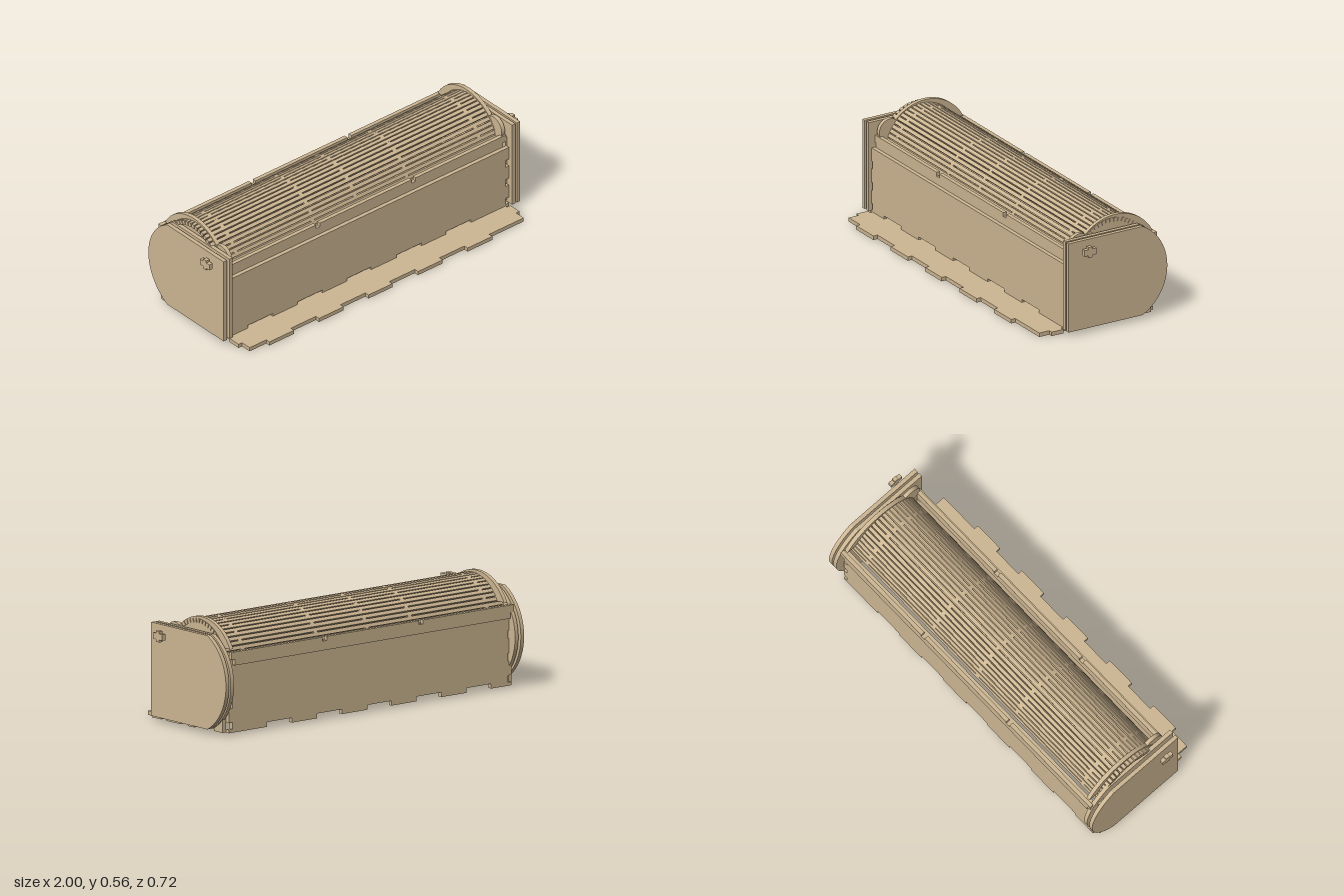
import * as THREE from 'three';

const T = 0.021; // sheet thickness
const wood = new THREE.MeshStandardMaterial({ color: 0xcdb692 });
wood.name = 'plywood';

export function createModel() {
  const root = new THREE.Group();
  root.name = 'slattedRollTopBox';

  const add = (geo, name, parent = root) => {
    const mesh = new THREE.Mesh(geo, wood);
    mesh.name = name;
    parent.add(mesh);
    return mesh;
  };
  const polygon = (pts) => new THREE.Shape(pts.map(([a, b]) => new THREE.Vector2(a, b)));
  const sheet = (shape) => new THREE.ExtrudeGeometry(shape, { depth: T, bevelEnabled: false, curveSegments: 48 });
  // Sheet drawn as (x, y), standing with its back face at z
  const frontSheet = (shape, z, name) => add(sheet(shape).translate(0, 0, z), name);
  // Sheet drawn as (-z, y), standing with its lower x face at x
  const sideSheet = (shape, x, name) =>
    add(sheet(shape).rotateY(Math.PI / 2).translate(x, 0, 0), name);

  const XL = -0.897, XR = 0.873;      // panel body ends, before finger joints
  const F = 0.0225;                   // finger length
  const tabX = [[-0.79, -0.63], [-0.47, -0.31], [-0.15, 0.005], [0.17, 0.33], [0.49, 0.65]];

  // Long walls: notched along the bottom, fingers at both ends
  const wall = (top) => {
    const gaps = [[0.03, 0.065], [0.135, 0.177], [0.25, 0.29]];
    const pts = [[XL - F, 0.013]];
    tabX.forEach(([a, b]) => pts.push([a, 0.013], [a, 0.037], [b, 0.037], [b, 0.013]));
    pts.push([XR + F, 0.013]);
    gaps.forEach(([a, b]) => pts.push([XR + F, a], [XR, a], [XR, b], [XR + F, b]));
    pts.push([XR + F, top], [XL - F, top]);
    [...gaps].reverse().forEach(([a, b]) => pts.push([XL - F, b], [XL, b], [XL, a], [XL - F, a]));
    return polygon(pts);
  };
  frontSheet(wall(0.36), 0.177, 'frontWall');
  frontSheet(wall(0.4), -0.312, 'backWall');

  // Rim strips with two small notches in the top edge
  const rim = () => {
    const pts = [[XL, 0.355], [XR, 0.355], [XR, 0.385], [XR + F, 0.385], [XR + F, 0.423]];
    [0.297, -0.322].forEach((x) => pts.push(
      [x + 0.013, 0.423], [x + 0.013, 0.402], [x - 0.013, 0.402], [x - 0.013, 0.423]));
    pts.push([XL - F, 0.423], [XL - F, 0.385], [XL, 0.385]);
    return polygon(pts);
  };
  frontSheet(rim(), 0.156, 'frontRim');
  frontSheet(rim(), -0.333, 'backRim');

  // Floor sheet with fingers on all four edges, drawn as (x, -z)
  const fp = [[XL, -0.336]];
  tabX.forEach(([a, b]) => fp.push([a, -0.336], [a, -0.36], [b, -0.36], [b, -0.336]));
  const tabZ = [[-0.278, -0.21], [-0.168, -0.06], [0, 0.045]];
  fp.push([XR, -0.336]);
  tabZ.forEach(([a, b]) => fp.push([XR, a], [XR + F, a], [XR + F, b], [XR, b]));
  fp.push([XR, 0.048]);
  [...tabX].reverse().forEach(([a, b]) => fp.push([b, 0.048], [b, 0.071], [a, 0.071], [a, 0.048]));
  fp.push([XL, 0.048]);
  [...tabZ].reverse().forEach(([a, b]) => fp.push([XL, b], [XL - F, b], [XL - F, a], [XL, a]));
  add(sheet(polygon(fp)).rotateX(-Math.PI / 2), 'floor');

  // Inner end walls with tabs below
  const ep = [[-0.176, 0.037]];
  [[-0.145, -0.062], [0.007, 0.045], [0.115, 0.152], [0.22, 0.287]].forEach(([a, b]) =>
    ep.push([a, 0.037], [a, 0.013], [b, 0.013], [b, 0.037]));
  ep.push([0.287, 0.41], [-0.176, 0.41]);
  sideSheet(polygon(ep), 0.893, 'leftEndWall');
  sideSheet(polygon(ep), -0.942, 'rightEndWall');

  // Outer end plates: square front, bowed back
  const plate = new THREE.Shape();
  const half = Math.asin(0.236 / 0.266);
  plate.moveTo(-0.215, 0.025);
  plate.lineTo(0.215, 0.025);
  plate.absarc(0.092, 0.261, 0.266, -half, half, false);
  plate.lineTo(-0.215, 0.497);
  plate.closePath();
  [[0.901, 'leftInnerPlate'], [0.932, 'leftOuterPlate'], [-0.926, 'rightInnerPlate'], [-0.963, 'rightOuterPlate']]
    .forEach(([x, name]) => sideSheet(plate, x, name));

  // Lid ends: arched segment and pivot ear; plus-shaped hinge pins outside
  const arch = new THREE.Shape();
  const a0 = Math.asin((0.434 - 0.319) / 0.246);
  arch.absarc(0.095, 0.319, 0.246, a0, Math.PI - a0, false);
  arch.closePath();
  const ear = new THREE.Shape();
  ear.absarc(-0.112, 0.445, 0.062, 0, Math.PI * 2, false);
  const plus = [];
  const w = 0.0115, h = 0.016, W = 0.035, H = 0.028;
  [[-w, -H], [w, -H], [w, -h], [W, -h], [W, h], [w, h], [w, H], [-w, H], [-w, h], [-W, h], [-W, -h], [-w, -h]]
    .forEach(([a, b]) => plus.push([a - 0.1145, b + 0.445]));
  [['left', 0.868, 0.975], ['right', -0.893, -1]].forEach(([side, x, pinX]) => {
    sideSheet(arch, x, side + 'LidArch');
    sideSheet(ear, x + 0.001, side + 'LidEar');
    sideSheet(polygon(plus), pinX, side + 'HingePin');
  });

  // Curved lid of slats joined by short bridges in alternate gaps
  const lid = new THREE.Group();
  lid.name = 'slattedLid';
  root.add(lid);
  const cy = 0.341, cz = -0.072, r = 0.2, n = 23, pitch = 0.1165;
  const place = (mesh, a, x) => {
    mesh.position.set(x, cy + r * Math.cos(a), cz + r * Math.sin(a));
    mesh.rotation.x = a;
  };
  const slat = new THREE.BoxGeometry(1.812, T, 0.0185);
  const bridge = new THREE.BoxGeometry(0.022, T, 0.008);
  for (let i = 0; i < n; i++) {
    const a = (i - (n - 1) / 2) * pitch;
    place(add(slat, 'slat', lid), a, -0.013);
    if (i === n - 1) continue;
    const xs = i % 2 ? [-0.31, 0.295] : [-0.8, -0.03, 0.77];
    xs.forEach((x) => place(add(bridge, 'slatBridge', lid), a + pitch / 2, x));
  }
  return root;
}
